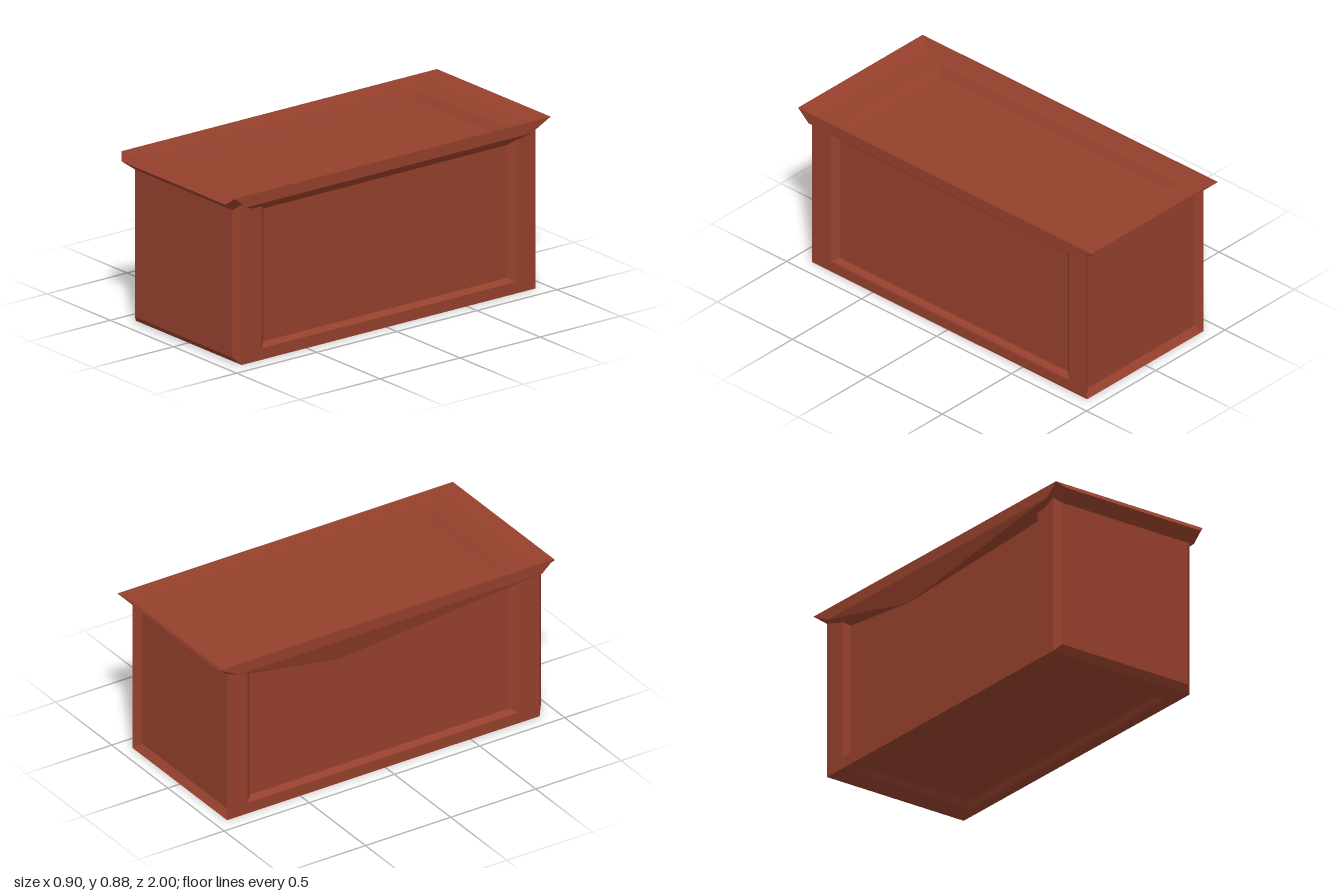
import * as THREE from 'three';

const material = new THREE.MeshStandardMaterial({ color: 0x95402c, flatShading: true, side: THREE.DoubleSide });

// Flat mesh from polygons given as counter-clockwise corner lists
function polyMesh(name, polys) {
  const pos = [];
  for (const p of polys)
    for (let i = 1; i < p.length - 1; i++) pos.push(...p[0], ...p[i], ...p[i + 1]);
  const g = new THREE.BufferGeometry();
  g.setAttribute('position', new THREE.Float32BufferAttribute(pos, 3));
  g.computeVertexNormals();
  const mesh = new THREE.Mesh(g, material);
  mesh.name = name;
  return mesh;
}

// Nested rectangles [u0, u1, v0, v1, w], outermost first, stitched and capped
function panel(name, place, rects) {
  const loops = rects.map(([u0, u1, v0, v1, w]) =>
    [[u0, v0], [u1, v0], [u1, v1], [u0, v1]].map(([u, v]) => place(u, v, w)));
  const polys = [loops[loops.length - 1]];
  for (let k = 0; k < loops.length - 1; k++)
    for (let i = 0; i < 4; i++) {
      const j = (i + 1) % 4;
      polys.push([loops[k][i], loops[k][j], loops[k + 1][j], loops[k + 1][i]]);
    }
  return polyMesh(name, polys);
}

export function createModel() {
  const model = new THREE.Group();
  model.name = 'chest';

  // Front: raised panel; back: sunken panel
  model.add(panel('frontPanel', (u, v, w) => [u, v, w],
    [[-0.42, 0.42, 0, 0.83, 0.905], [-0.385, 0.385, 0.035, 0.80, 0.935]]));
  model.add(panel('backPanel', (u, v, w) => [-u, v, -w],
    [[-0.42, 0.42, 0, 0.83, 0.93], [-0.385, 0.385, 0.035, 0.80, 0.90]]));

  // Sides: frame around a sunken panel
  model.add(panel('leftPanel', (u, v, w) => [w, v, -u],
    [[-0.905, 0.93, 0, 0.83, 0.42], [-0.78, 0.81, 0.06, 0.81, 0.42], [-0.745, 0.775, 0.08, 0.79, 0.39]]));
  model.add(panel('rightPanel', (u, v, w) => [-w, v, u],
    [[-0.93, 0.905, 0, 0.83, 0.42], [-0.81, 0.78, 0.06, 0.81, 0.42], [-0.775, 0.745, 0.08, 0.79, 0.39]]));

  // Base with a sunken panel
  model.add(panel('base', (u, v, w) => [u, w, v],
    [[-0.42, 0.42, -0.93, 0.905, 0], [-0.36, 0.36, -0.81, 0.78, 0], [-0.34, 0.34, -0.775, 0.745, 0.03]]));

  // Lid top: raised rim, flat border, sunken panel
  model.add(panel('lidTop', (u, v, w) => [u, w, -v],
    [[-0.45, 0.45, -0.97, 1.0, 0.885], [-0.42, 0.42, -0.905, 0.94, 0.84],
      [-0.36, 0.36, -0.775, 0.81, 0.84], [-0.34, 0.34, -0.74, 0.78, 0.80]]));

  // Lid moulding along the front and back
  const pair = (x, y, z) => [[-x, y, z], [x, y, z]];
  const [tipL, tipR] = pair(0.45, 0.885, 0.97);
  const [lipL, lipR] = pair(0.41, 0.85, 1.0);
  const [footL, footR] = pair(0.385, 0.80, 0.935);
  model.add(polyMesh('lidFrontMoulding', [[lipL, lipR, tipR, tipL], [footL, footR, lipR, lipL]]));
  const [rearL, rearR] = pair(0.45, 0.885, -1.0);
  const [heelL, heelR] = pair(0.385, 0.80, -0.90);
  model.add(polyMesh('lidBackMoulding', [[heelR, heelL, rearL, rearR]]));

  // Lid moulding along each side with its corners; one side sags midway
  for (const s of [1, -1]) {
    const A = [0.45, 0.885, 0.97], Ab = [0.45, 0.885, -1.0];
    const B = [0.45, 0.825, 0.90], Bb = [0.45, 0.825, -0.88];
    const D = [0.39, 0.77, 0.78], Db = [0.39, 0.77, -0.78];
    const G = [0.42, 0.83, 0.905], H = [0.42, 0.83, -0.93];
    const S = s > 0 ? [0.39, 0.77, -0.27] : [0.415, 0.70, -0.27];
    const polys = [
      [A, B, Bb, Ab],
      [B, D, S], [B, S, Bb], [Bb, S, Db],
      [A, lipR, footR, G], [A, G, D, B],
      [Ab, H, heelR], [Ab, Bb, Db, H],
    ].map(p => {
      const q = p.map(([x, y, z]) => [s * x, y, z]);
      return s > 0 ? q : q.reverse();
    });
    model.add(polyMesh(s > 0 ? 'lidLeftMoulding' : 'lidRightMoulding', polys));
  }
  return model;
}
